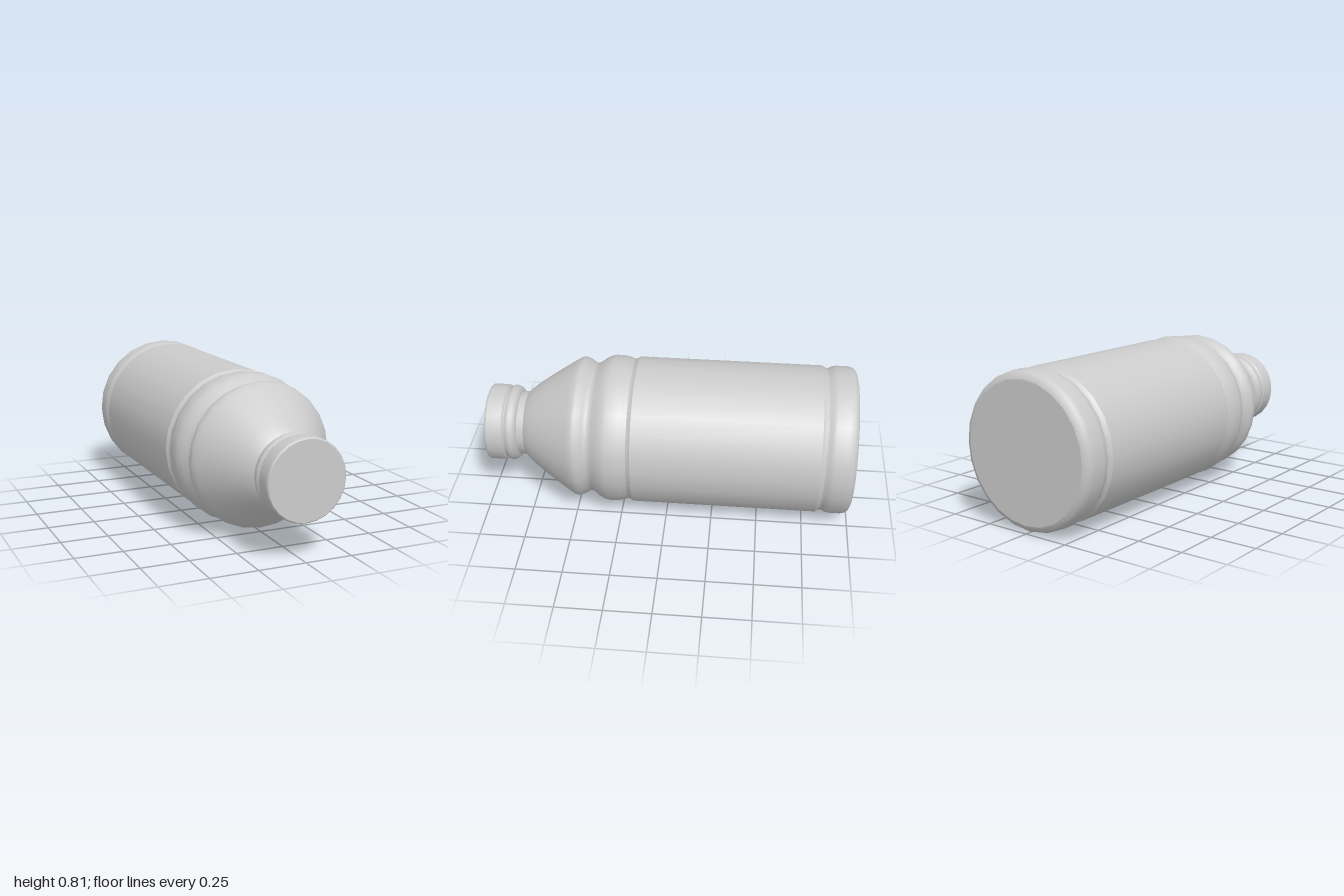
import * as THREE from 'three';

const SIDES = 24;
const AXIS_Y = 0.406;

export function createModel() {
  const group = new THREE.Group();
  group.name = 'bottle';
  const material = new THREE.MeshStandardMaterial({ color: 0xcccccc });

  // Turns a profile of [radius, z] pairs around the lengthwise axis
  const turn = (name, profile) => {
    const points = profile.map(([r, z]) => new THREE.Vector2(r, z));
    const geometry = new THREE.LatheGeometry(points, SIDES);
    geometry.rotateX(Math.PI / 2);
    const mesh = new THREE.Mesh(geometry, material);
    mesh.name = name;
    mesh.position.y = AXIS_Y;
    group.add(mesh);
  };

  // Flat base and the rounded heel ring
  turn('base', [[0, -1], [0.365, -1]]);
  turn('heelRing', [
    [0.365, -1], [0.385, -0.992], [0.398, -0.975], [0.404, -0.95],
    [0.404, -0.885], [0.4, -0.865], [0.391, -0.85], [0.389, -0.838],
  ]);

  // Long straight label panel with small stepped ends
  turn('labelEndBack', [[0.389, -0.838], [0.394, -0.825], [0.402, -0.815]]);
  turn('labelPanel', [[0.402, -0.815], [0.402, 0.18]]);
  turn('labelEndFront', [[0.402, 0.18], [0.394, 0.19], [0.389, 0.203]]);

  // Upper ring, waist groove and domed shoulder
  turn('shoulder', [
    [0.389, 0.203], [0.392, 0.218], [0.4, 0.24], [0.405, 0.27], [0.405, 0.31],
    [0.4, 0.335], [0.385, 0.365], [0.365, 0.39], [0.356, 0.408], [0.357, 0.422],
    [0.368, 0.44], [0.382, 0.46], [0.388, 0.48], [0.384, 0.5], [0.37, 0.525],
    [0.325, 0.595], [0.275, 0.67], [0.225, 0.74], [0.195, 0.775], [0.177, 0.792],
  ]);

  // Neck with its collar
  turn('neck', [[0.177, 0.792], [0.175, 0.83]]);
  turn('collar', [
    [0.175, 0.83], [0.193, 0.836], [0.205, 0.85], [0.211, 0.868],
    [0.207, 0.882], [0.199, 0.891], [0.199, 0.899],
  ]);

  // Screw cap
  turn('capSide', [[0.199, 0.899], [0.207, 0.903], [0.211, 0.912], [0.211, 0.988]]);
  turn('capEdge', [[0.211, 0.988], [0.209, 0.996], [0.204, 1]]);
  turn('capTop', [[0.204, 1], [0, 1]]);

  return group;
}
